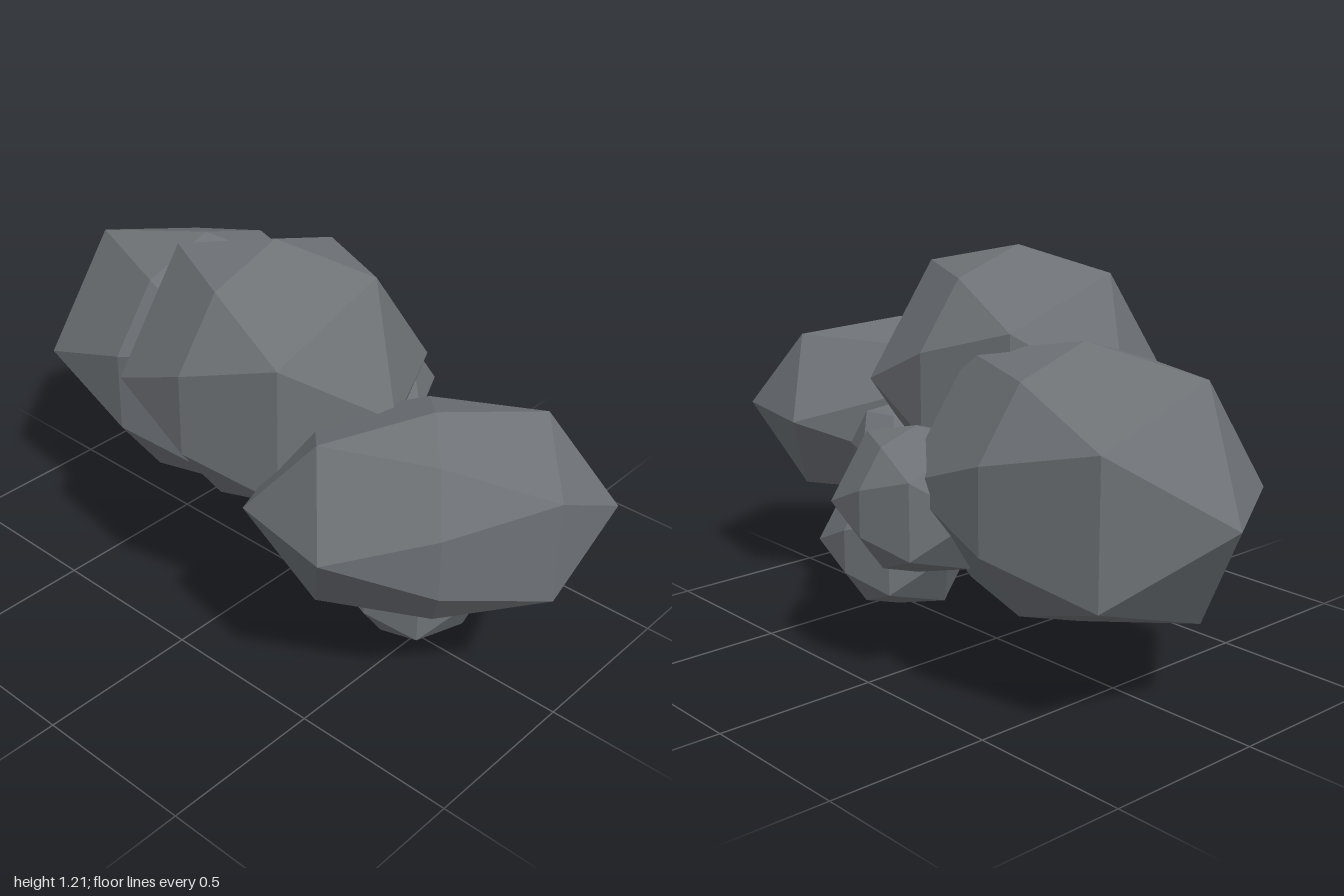
import * as THREE from 'three';
import { ConvexGeometry } from 'three/addons/geometries/ConvexGeometry.js';

// Faceted stone: two poles on z, two five-sided rings and a ten-sided girdle
function stoneGeometry() {
  const points = [new THREE.Vector3(0, 0, 1), new THREE.Vector3(0, 0, -1)];
  const add = (degrees, radius, z) => {
    const a = THREE.MathUtils.degToRad(degrees);
    points.push(new THREE.Vector3(Math.cos(a) * radius, Math.sin(a) * radius, z));
  };
  for (let i = 0; i < 5; i++) {
    add(i * 72, 0.88, 0.615);
    add(i * 72 + 36, 0.88, -0.615);
  }
  for (let i = 0; i < 10; i++) add(18 + i * 36, 1, 0);
  return new ConvexGeometry(points);
}

export function createModel() {
  const group = new THREE.Group();
  const stone = new THREE.MeshStandardMaterial({ color: 0x6e7276, flatShading: true });
  stone.name = 'greyStone';
  const geometry = stoneGeometry();

  // name, centre, girdle radius, half length along the poles, turn about y
  const stones = [
    ['topStone', [-0.12, 0.81, 0.037], 0.4, 0.447, 0],
    ['backStone', [0.07, 0.61, -0.435], 0.405, 0.565, 0],
    ['frontStone', [-0.14, 0.608, 0.632], 0.302, 0.51, 0.757],
    ['sideStone', [0.33, 0.527, -0.03], 0.22, 0.252, 0],
    ['bottomStone', [0.036, 0.228, 0.44], 0.228, 0.256, 0],
    ['smallStone', [0.08, 0.565, 0.375], 0.135, 0.15, 0.757],
  ];
  for (const [name, centre, radius, halfLength, turn] of stones) {
    const mesh = new THREE.Mesh(geometry, stone);
    mesh.name = name;
    mesh.position.set(...centre);
    mesh.scale.set(radius, radius, halfLength);
    mesh.rotation.y = turn;
    group.add(mesh);
  }
  return group;
}
